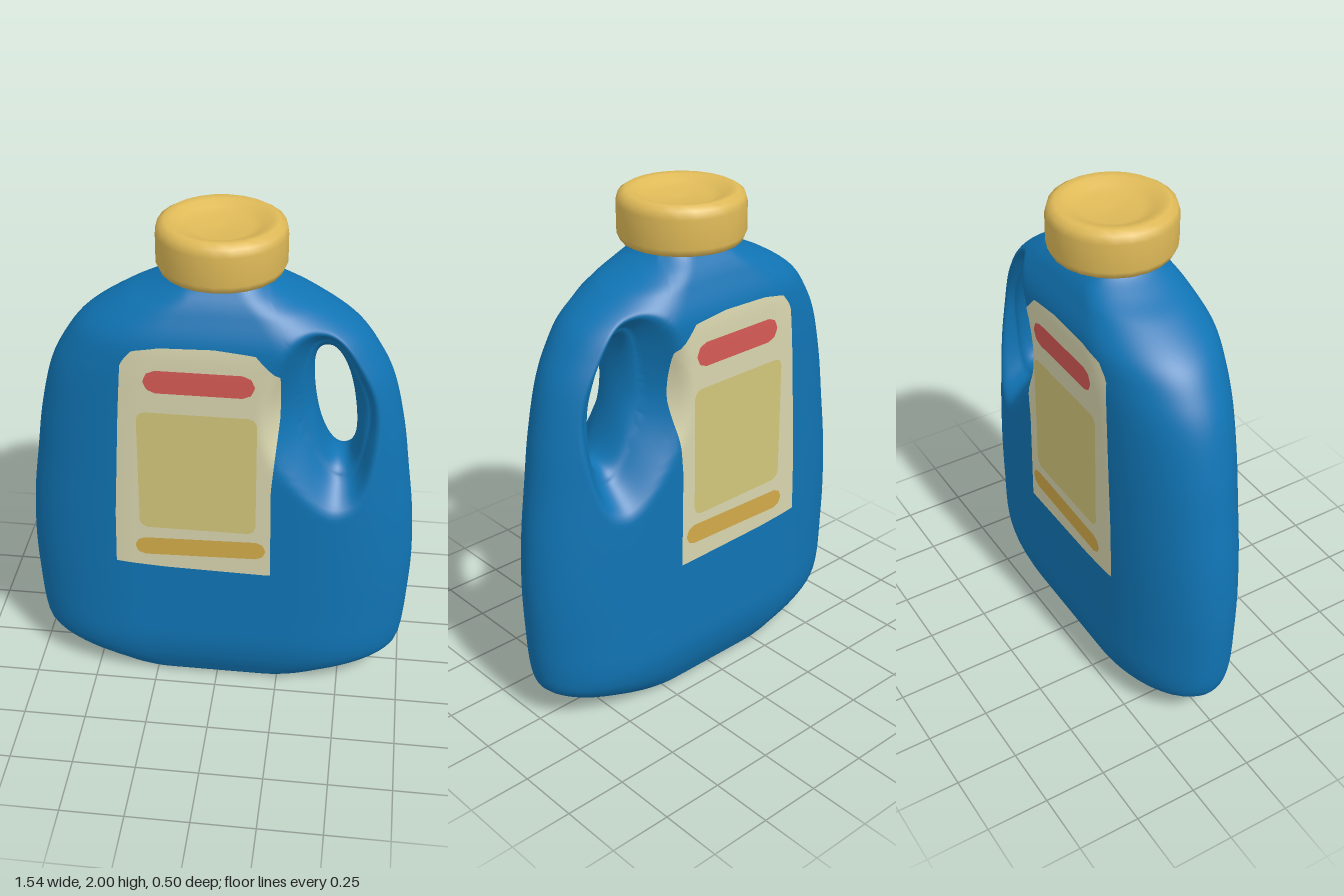
import * as THREE from 'three';
import { mergeVertices } from 'three/addons/utils/BufferGeometryUtils.js';

const V2 = (x, y) => new THREE.Vector2(x, y);
const mat = (name, color) => new THREE.MeshStandardMaterial({ name, color });

// Body sections from base to neck: half width, height, half depth
const SECTIONS = new THREE.CatmullRomCurve3([
  [.38, 0, .14], [.47, .015, .175], [.57, .05, .195], [.68, .1, .217], [.735, .15, .232],
  [.752, .22, .244], [.765, .4, .245], [.77, .58, .245], [.757, .8, .245], [.73, 1, .245],
  [.70, 1.2, .245], [.65, 1.4, .245], [.6, 1.5, .245], [.525, 1.6, .24], [.375, 1.7, .205],
  [.265, 1.75, .18], [.18, 1.8, .145], [.16, 1.83, .13],
].map(p => new THREE.Vector3(...p))).getPoints(340);
const TOP = 1.83;

function section(y) {
  let i = 1;
  while (i < SECTIONS.length - 1 && SECTIONS[i].y < y) i++;
  const a = SECTIONS[i - 1], b = SECTIONS[i];
  const t = THREE.MathUtils.clamp((y - a.y) / (b.y - a.y), 0, 1);
  return { w: a.x + (b.x - a.x) * t, d: a.z + (b.z - a.z) * t };
}

// Handle hole: a tilted, slightly squared ellipse
const HOLE = V2(.435, 1.3), TILT = .16;
function holeRadius(angle) {
  const a = angle - TILT;
  const c = Math.abs(Math.cos(a)) / .074, s = Math.abs(Math.sin(a)) / .243;
  return Math.pow(c ** 2.3 + s ** 2.3, -1 / 2.3);
}

// Half depth of the body at (x, y), hollowed around the handle hole
function depth(x, y) {
  const { w, d } = section(y);
  const v = THREE.MathUtils.clamp((Math.abs(x) / w - .4) / .6, 0, 1);
  const base = d * Math.sqrt(1 - v * v);
  const dx = x - HOLE.x, dy = y - HOLE.y;
  const gap = Math.max(0, Math.hypot(dx, dy) - holeRadius(Math.atan2(dy, dx)));
  const k = 1 - Math.min(gap / .07, 1);
  const carve = .115 * Math.sqrt(1 - k * k) + Math.max(0, gap - .06) * 1.1;
  const blend = Math.max(.03 - Math.abs(base - carve), 0) / .03;
  return Math.max(0, Math.min(base, carve) - blend * blend * .0075 * Math.min(1, base / .05, carve / .05));
}

// Rings of vertices from an inner loop to an outer loop, on the front (1) or back (-1)
function addSheet(pos, index, inner, outer, rings, ease, lift, side) {
  const n = outer.length, start = pos.length / 3;
  for (let j = 0; j <= rings; j++) {
    const s = ease(j / rings);
    for (let i = 0; i < n; i++) {
      const p = inner[i].clone().lerp(outer[i], s);
      pos.push(p.x, p.y, side * (depth(p.x, p.y) + lift));
    }
  }
  for (let j = 0; j < rings; j++) for (let i = 0; i < n; i++) {
    const a = start + j * n + i, d = start + j * n + (i + 1) % n, b = a + n, c = d + n;
    if (side > 0) index.push(a, b, c, a, c, d);
    else index.push(a, c, b, a, d, c);
  }
  return start + rings * n;
}

function finish(pos, index) {
  let g = new THREE.BufferGeometry();
  g.setAttribute('position', new THREE.Float32BufferAttribute(pos, 3));
  g.setIndex(index);
  g = mergeVertices(g, 1e-5);
  g.computeVertexNormals();
  return g;
}

function bodyGeometry() {
  const n = 280, inner = [], outer = [];
  for (let i = 0; i < n; i++) {
    const a = i / n * Math.PI * 2, dir = V2(Math.cos(a), Math.sin(a));
    inner.push(HOLE.clone().addScaledVector(dir, holeRadius(a)));
    let lo = .1, hi = 2;
    for (let k = 0; k < 36; k++) {
      const r = (lo + hi) / 2, x = HOLE.x + dir.x * r, y = HOLE.y + dir.y * r;
      if (y > 0 && y < TOP && Math.abs(x) < section(y).w) lo = r; else hi = r;
    }
    outer.push(HOLE.clone().addScaledVector(dir, lo));
  }
  const pos = [], index = [];
  const ease = u => (1 - Math.cos(Math.PI * u)) / 2;
  const f = addSheet(pos, index, inner, outer, 64, ease, 0, 1);
  const b = addSheet(pos, index, inner, outer, 64, ease, 0, -1);
  // Join front and back across the base and the neck
  for (let i = 0; i < n; i++) {
    const k = (i + 1) % n;
    index.push(f + i, b + i, b + k, f + i, b + k, f + k);
  }
  return finish(pos, index);
}

// Thin printed patch that follows the body surface
function patchGeometry(points, lift, side) {
  const outer = new THREE.Shape(points.map(p => V2(...p))).getSpacedPoints(120).slice(0, -1);
  const mid = new THREE.Box2().setFromPoints(outer).getCenter(V2(0, 0));
  const pos = [], index = [];
  addSheet(pos, index, outer.map(() => mid), outer, 24, u => u, lift, side);
  return finish(pos, index);
}

// Bar with cut corners, counter-clockwise
function bar(x0, y0, x1, y1, r, rise = 0) {
  const q = r * .3;
  return [[x0 + r, y0], [x1 - r, y0 + rise], [x1 - q, y0 + q + rise], [x1, y0 + r + rise],
    [x1, y1 - r + rise], [x1 - q, y1 - q + rise], [x1 - r, y1 + rise], [x0 + r, y1],
    [x0 + q, y1 - q], [x0, y1 - r], [x0, y0 + r], [x0 + q, y0 + q], [x0 + r, y0]];
}

export function createModel() {
  const group = new THREE.Group();
  const add = (name, geometry, material) => {
    const mesh = new THREE.Mesh(geometry, material);
    mesh.name = name;
    group.add(mesh);
  };

  add('jugBody', bodyGeometry(), mat('blue plastic', 0x1074b4));

  // Screw cap with a dished top
  const cap = [[0, 1.81], [.2, 1.81], [.228, 1.818], [.24, 1.845], [.24, 1.955], [.232, 1.985],
    [.208, 2], [.18, 1.997], [.15, 1.98], [.11, 1.966], [0, 1.96]].map(p => V2(...p));
  add('cap', new THREE.LatheGeometry(cap, 24), mat('golden cap', 0xdfba58));

  // Label and its coloured panels, front and back
  const label = [[-.39, .62], [-.2, .608], [.22, .6], [.215, 1], [.24, 1.3], [.24, 1.49], [.18, 1.55],
    [.15, 1.585], [0, 1.6], [-.2, 1.595], [-.3, 1.575], [-.345, 1.52], [-.36, 1.3], [-.385, .85], [-.39, .62]];
  const panels = [
    ['label', label, .003, mat('cream label', 0xd8d5ae)],
    ['labelTopBar', bar(-.26, 1.41, .15, 1.505, .045), .006, mat('red', 0xd65a55)],
    ['labelPanel', bar(-.29, .8, .16, 1.325, .03), .006, mat('pale yellow', 0xd2c67a)],
    ['labelBottomBar', bar(-.31, .668, .2, .748, .038, .012), .006, mat('amber', 0xd2aa48)],
  ];
  for (const side of [1, -1]) for (const [name, points, lift, material] of panels)
    add((side > 0 ? 'front ' : 'back ') + name, patchGeometry(points, lift, side), material);

  return group;
}
